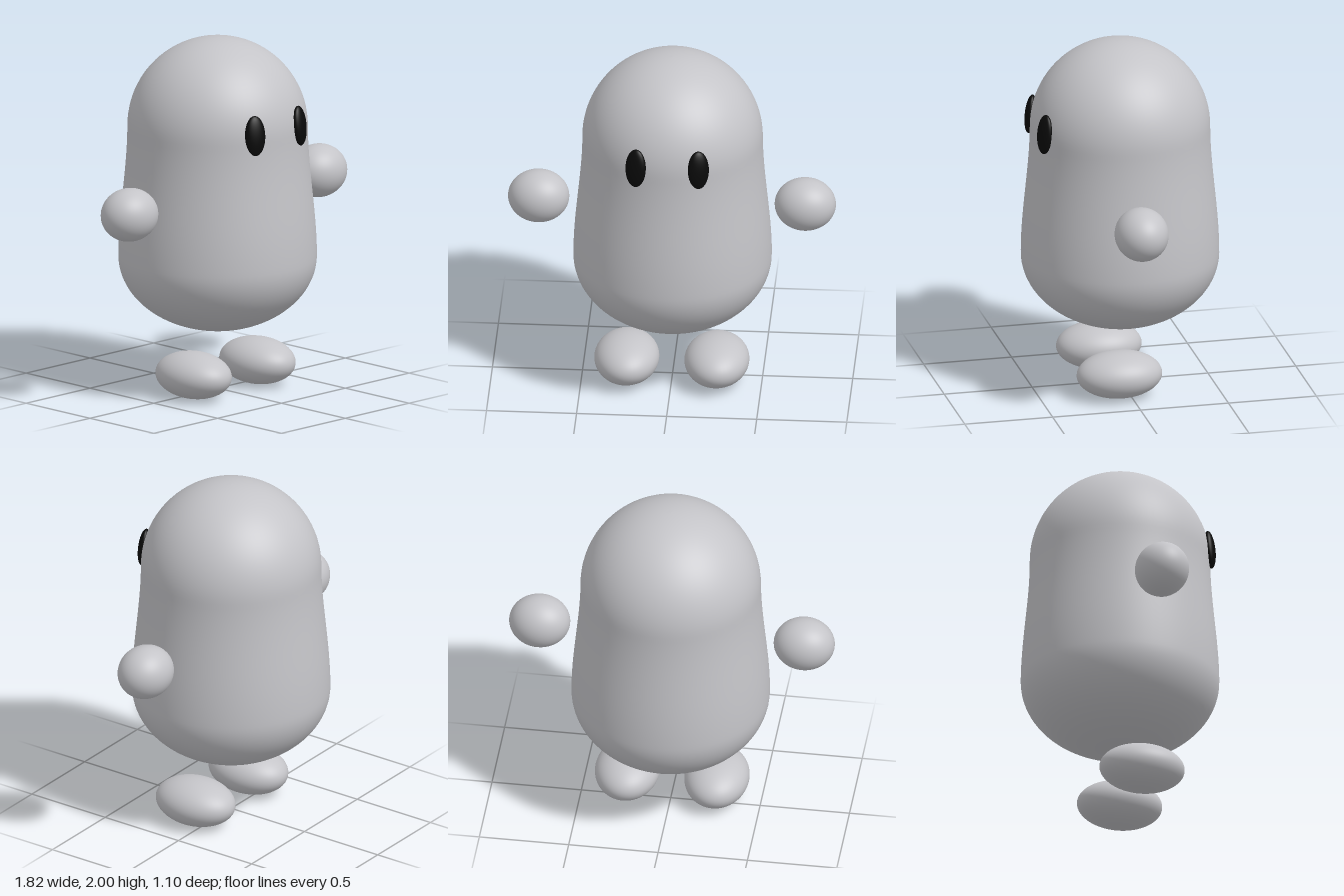
import * as THREE from 'three';

export function createModel() {
  const model = new THREE.Group();
  const grey = new THREE.MeshStandardMaterial({ color: 0xc4c4c8 });
  grey.name = 'soft grey';
  const black = new THREE.MeshStandardMaterial({ color: 0x0a0a0a });
  black.name = 'eye black';

  const ball = new THREE.SphereGeometry(1, 48, 32);
  function ellipsoid(name, material, position, radii) {
    const mesh = new THREE.Mesh(ball, material);
    mesh.name = name;
    mesh.position.set(...position);
    mesh.scale.set(...radii);
    model.add(mesh);
    return mesh;
  }

  // Body profile from the bottom up: bowl, gently narrowing waist, round dome
  const profile = [];
  const steps = 24;
  for (let i = 0; i <= steps; i++) {
    const a = (i / steps) * Math.PI / 2;
    profile.push(new THREE.Vector2(0.55 * Math.sin(a), 0.76 - 0.415 * Math.cos(a)));
  }
  for (let i = 1; i < steps; i++) {
    const t = i / steps;
    const r = 0.55 - 0.05 * t * t * (3 - 2 * t);
    profile.push(new THREE.Vector2(r, 0.76 + 0.74 * t));
  }
  for (let i = 0; i <= steps; i++) {
    const a = (i / steps) * Math.PI / 2;
    profile.push(new THREE.Vector2(i === steps ? 0 : 0.5 * Math.cos(a), 1.5 + 0.5 * Math.sin(a)));
  }
  const body = new THREE.Mesh(new THREE.LatheGeometry(profile, 72), grey);
  body.name = 'body';
  model.add(body);

  // Floating hands, feet and inset eyes, mirrored left and right
  for (const [side, s] of [['left', 1], ['right', -1]]) {
    ellipsoid(side + 'Hand', grey, [s * 0.74, 1.124, 0.05], [0.17, 0.149, 0.149]);
    ellipsoid(side + 'Foot', grey, [s * 0.25, 0.13, 0.062], [0.18, 0.13, 0.24]);
    const eye = ellipsoid(side + 'Eye', black, [s * 0.174, 1.547, 0.468], [0.06, 0.112, 0.032]);
    eye.rotation.set(-0.1, s * 0.35, 0, 'YXZ');
  }
  return model;
}
